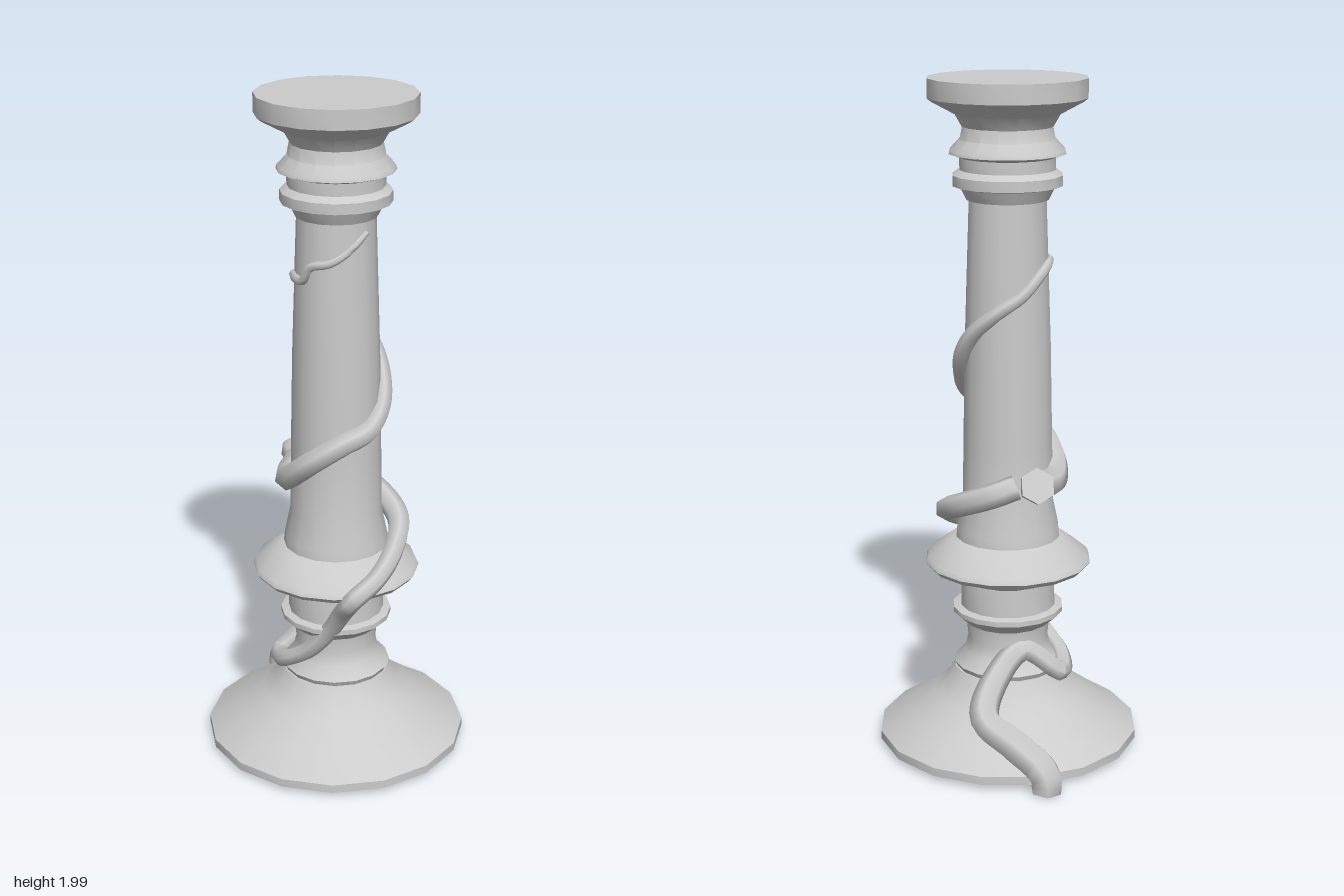
import * as THREE from 'three';
import { toCreasedNormals } from 'three/addons/utils/BufferGeometryUtils.js';

const material = new THREE.MeshStandardMaterial({ color: 0xcccccc });

function addMesh(group, name, geometry, crease) {
  const mesh = new THREE.Mesh(toCreasedNormals(geometry, crease), material);
  mesh.name = name;
  group.add(mesh);
  return mesh;
}

// Turned part from [radius, height] pairs, listed from bottom to top
function turned(group, name, profile) {
  const points = profile.map(([r, y]) => new THREE.Vector2(r, y));
  const mesh = addMesh(group, name, new THREE.LatheGeometry(points, 16), 0.6);
  mesh.position.x = 0.02;
}

// Tapering stem through [x, y, z, radius] points, with flat closed ends
function stem(group, name, path, rings, sides = 6) {
  const curve = new THREE.CatmullRomCurve3(path.map(([x, y, z]) => new THREE.Vector3(x, y, z)));
  const geometry = new THREE.TubeGeometry(curve, rings, 1, sides);
  const pos = geometry.attributes.position;
  const v = new THREE.Vector3();
  for (let i = 0; i <= rings; i++) {
    const k = curve.getUtoTmapping(i / rings) * (path.length - 1);
    const a = Math.min(Math.floor(k), path.length - 2);
    const radius = THREE.MathUtils.lerp(path[a][3], path[a + 1][3], k - a);
    const centre = curve.getPointAt(i / rings);
    const end = i === 0 || i === rings;
    // the end rings collapse onto the centre of their neighbours as caps
    const target = end ? curve.getPointAt(i === 0 ? 1 / rings : 1 - 1 / rings) : centre;
    for (let j = 0; j <= sides; j++) {
      const n = i * (sides + 1) + j;
      v.fromBufferAttribute(pos, n).sub(centre).multiplyScalar(end ? 0 : radius).add(target);
      pos.setXYZ(n, v.x, v.y, v.z);
    }
  }
  addMesh(group, name, geometry, 1.1);
}

export function createModel() {
  const model = new THREE.Group();
  model.name = 'candlestick';

  // Flared foot
  turned(model, 'base', [
    [0, 0.03], [0.39, 0.03], [0.39, 0.055], [0.3, 0.115], [0.225, 0.17],
    [0.185, 0.205], [0.16, 0.25], [0, 0.25],
  ]);

  // Neck, small collar and wide ring under the shaft
  turned(model, 'lowerCollar', [
    [0, 0.25], [0.155, 0.25], [0.162, 0.265], [0.13, 0.3], [0.12, 0.34], [0.125, 0.39],
    [0.165, 0.425], [0.165, 0.44], [0.142, 0.445], [0.14, 0.53], [0.16, 0.55],
    [0.235, 0.57], [0.247, 0.585], [0.24, 0.6], [0.16, 0.66], [0, 0.67],
  ]);

  // Tapering shaft
  turned(model, 'shaft', [
    [0, 0.66], [0.155, 0.66], [0.152, 0.69], [0.135, 0.77], [0.132, 0.95],
    [0.126, 1.25], [0.112, 1.66], [0, 1.67],
  ]);

  // Two rings and the flared cup
  turned(model, 'capital', [
    [0, 1.66], [0.118, 1.66], [0.135, 1.695], [0.158, 1.7], [0.158, 1.73], [0.138, 1.745],
    [0.138, 1.78], [0.168, 1.79], [0.165, 1.8], [0.137, 1.83], [0.13, 1.865],
    [0.15, 1.9], [0.215, 1.935], [0.228, 1.945], [0.228, 2], [0, 2],
  ]);

  // Root and first turn of the vine, up to the back of the shaft
  stem(model, 'lowerVine', [
    [-0.365, -0.003, -0.128, 0.045], [-0.36, 0.065, -0.13, 0.05], [-0.27, 0.125, -0.165, 0.052],
    [-0.18, 0.19, -0.215, 0.046], [-0.11, 0.27, -0.13, 0.04], [-0.09, 0.33, -0.02, 0.035],
    [-0.14, 0.255, 0.08, 0.03], [-0.06, 0.28, 0.135, 0.028], [0.04, 0.345, 0.13, 0.026],
    [0.12, 0.44, 0.115, 0.026], [0.17, 0.51, 0.12, 0.028], [0.235, 0.585, 0.135, 0.029],
    [0.245, 0.63, 0.05, 0.029], [0.205, 0.68, -0.06, 0.032], [0.14, 0.73, -0.14, 0.034],
    [0.02, 0.78, -0.165, 0.036], [-0.09, 0.83, -0.12, 0.038], [-0.13, 0.86, -0.05, 0.038],
  ], 96);

  // Second turn, rising from the cut stub
  stem(model, 'upperVine', [
    [-0.225, 0.885, -0.06, 0.054], [-0.17, 0.86, -0.03, 0.048], [-0.11, 0.85, 0.07, 0.042],
    [-0.03, 0.89, 0.13, 0.038], [0.06, 0.96, 0.135, 0.035], [0.13, 1.02, 0.08, 0.033],
    [0.153, 1.05, 0, 0.032], [0.13, 1.11, -0.075, 0.03], [0.07, 1.2, -0.125, 0.028],
    [0.01, 1.28, -0.13, 0.025], [-0.06, 1.35, -0.095, 0.02], [-0.095, 1.4, -0.03, 0.018],
    [-0.098, 1.45, 0.025, 0.017], [-0.085, 1.475, 0.06, 0.016], [-0.04, 1.485, 0.1, 0.015],
    [0.01, 1.49, 0.118, 0.014], [0.04, 1.535, 0.118, 0.013], [0.09, 1.55, 0.095, 0.012],
    [0.118, 1.575, 0.06, 0.011], [0.133, 1.61, 0.02, 0.01], [0.135, 1.64, -0.02, 0.006],
  ], 96);

  return model;
}
